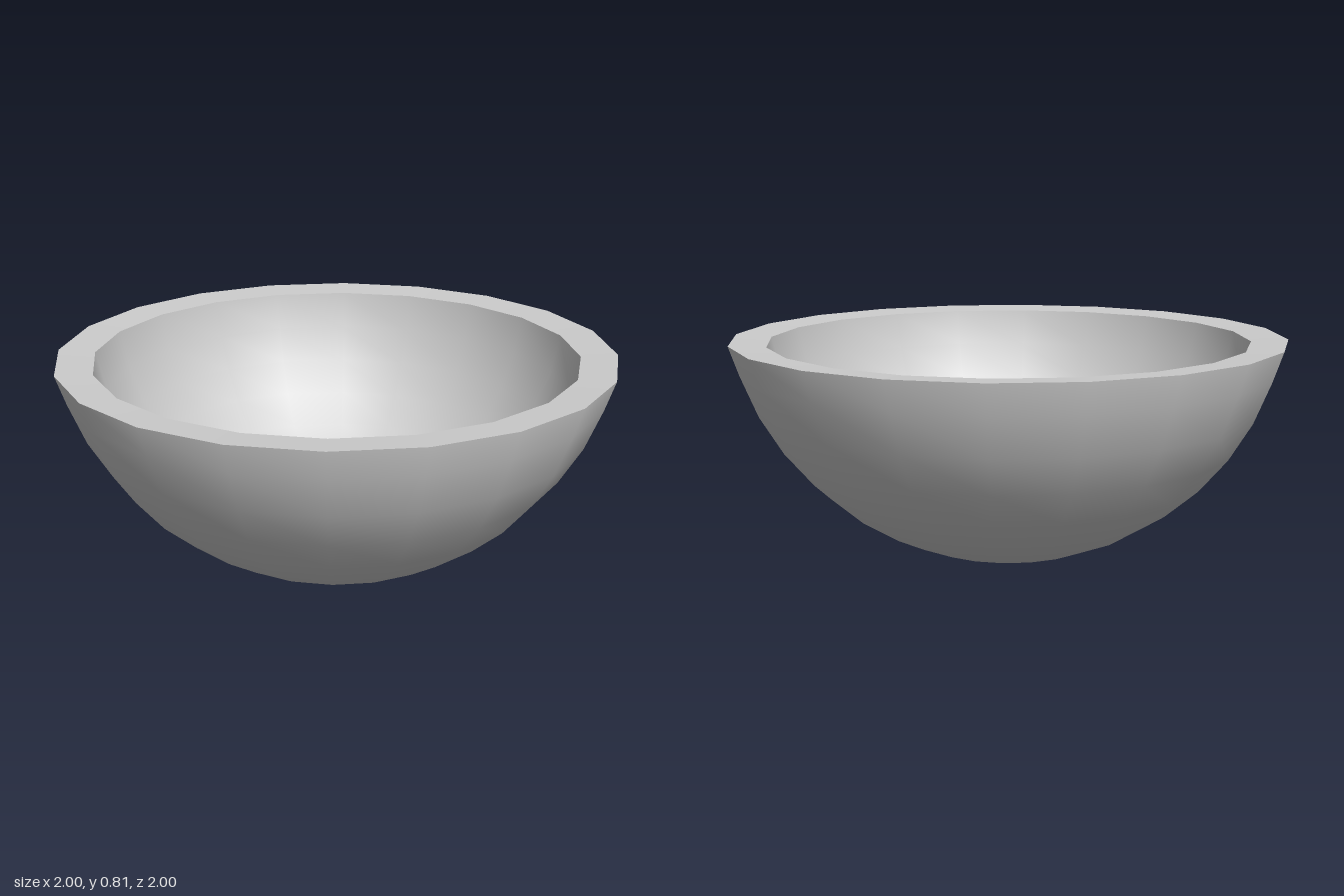
import * as THREE from 'three';

const SIDES = 20;
const STEP = Math.PI / 20; // 9 degrees per ring

// Sphere rings from the bottom pole (at height base) up; the last one sits at the rim
function bowlProfile(radius, base, rim) {
  const points = [];
  for (let i = 0; i <= 9; i++) {
    const y = i < 9 ? base + radius * (1 - Math.cos(i * STEP)) : rim;
    points.push(new THREE.Vector2(radius * Math.sin(i * STEP), y));
  }
  return points;
}

// Turn a wall profile and give it the smooth normals of its sphere
function wallGeometry(points, centre, sign) {
  const geometry = new THREE.LatheGeometry(points, SIDES);
  const { position, normal } = geometry.attributes;
  const v = new THREE.Vector3();
  for (let i = 0; i < position.count; i++) {
    v.fromBufferAttribute(position, i);
    v.y -= centre;
    v.normalize().multiplyScalar(sign);
    normal.setXYZ(i, v.x, v.y, v.z);
  }
  return geometry;
}

export function createModel() {
  const model = new THREE.Group();
  model.name = 'bowl';
  const material = new THREE.MeshStandardMaterial({ color: 0xcccccc });
  const add = (name, geometry) => {
    const mesh = new THREE.Mesh(geometry, material);
    mesh.name = name;
    model.add(mesh);
  };

  const outer = bowlProfile(1.0125, 0, 0.807);
  const inner = bowlProfile(0.879, 0.058, 0.799);

  add('outerWall', wallGeometry(outer, 1.0125, 1));
  // Reversed so that the faces look into the hollow
  add('innerWall', wallGeometry(inner.toReversed(), 0.937, -1));
  // Ring joining the two walls, dipping slightly toward the hollow
  add('rim', new THREE.LatheGeometry([outer.at(-1), inner.at(-1)], SIDES));
  return model;
}
